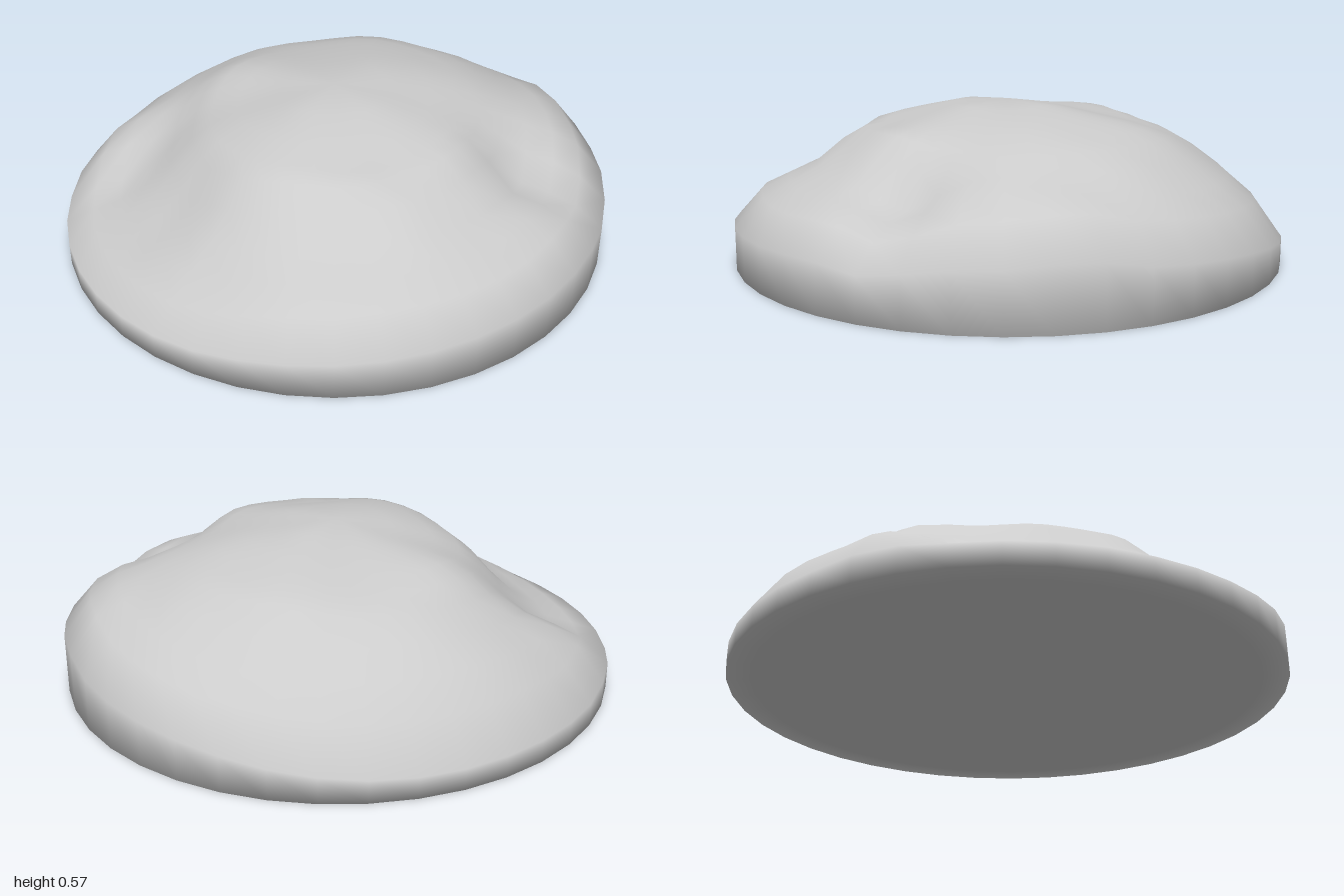
import * as THREE from 'three';

const SEGMENTS = 40;
const BASE = 0.01;

// Height profiles out from the centre, one every 45 degrees from +x towards +z
const RADII = [0, 0.2, 0.35, 0.45, 0.52, 0.6, 0.7, 0.8, 0.9, 1];
const PROFILES = [
  [0.58, 0.57, 0.53, 0.51, 0.50, 0.46, 0.37, 0.32, 0.27, 0.18], // +x
  [0.58, 0.56, 0.53, 0.50, 0.48, 0.41, 0.35, 0.31, 0.26, 0.15], // +x +z
  [0.58, 0.56, 0.53, 0.505, 0.47, 0.38, 0.29, 0.23, 0.17, 0.10], // +z
  [0.58, 0.55, 0.50, 0.45, 0.40, 0.32, 0.23, 0.17, 0.13, 0.09], // -x +z
  [0.58, 0.55, 0.525, 0.505, 0.48, 0.43, 0.37, 0.30, 0.22, 0.09], // -x
  [0.58, 0.55, 0.525, 0.505, 0.48, 0.45, 0.39, 0.32, 0.23, 0.09], // -x -z
  [0.58, 0.57, 0.55, 0.53, 0.51, 0.48, 0.42, 0.35, 0.29, 0.17], // -z
  [0.58, 0.57, 0.54, 0.51, 0.49, 0.47, 0.43, 0.39, 0.33, 0.21], // +x -z
];

// Local swellings and hollows: x, z, radius, height
const BUMPS = [
  [0.66, -0.2, 0.14, -0.09], [0.85, -0.32, 0.14, -0.05],
  [0.48, -0.8, 0.15, 0.035], [0.85, -0.06, 0.1, 0.02],
  [-0.2, 0.6, 0.14, -0.04], [0.47, 0.38, 0.08, 0.03],
  [-0.8, 0.33, 0.13, 0.055], [-0.62, 0.47, 0.12, -0.03],
  [0.3, 0.75, 0.18, 0.02],
];

function catmull(a, b, c, d, t) {
  return b + 0.5 * t * (c - a + t * (2 * a - 5 * b + 4 * c - d + t * (3 * (b - c) + d - a)));
}

function heightAt(angle, ring) {
  const s = (angle / (Math.PI * 2)) * 8;
  const i = Math.floor(s);
  const p = (k) => PROFILES[(i + k + 8) % 8][ring];
  const r = RADII[ring];
  const x = r * Math.cos(angle), z = r * Math.sin(angle);
  let y = catmull(p(-1), p(0), p(1), p(2), s - i);
  for (const [bx, bz, size, h] of BUMPS) {
    y += h * Math.exp(-((x - bx) ** 2 + (z - bz) ** 2) / (size * size));
  }
  // gentle unevenness, fading at the middle and the rim
  y += 0.01 * Math.sin(11 * x + 4 * z) * Math.sin(10 * z - 3 * x) * r * (1 - r) * 4;
  return Math.max(y, 0.07);
}

function moundGeometry() {
  const points = [0, 0.58, 0];
  const index = [];
  const ring = (r, heightOf) => {
    for (let j = 0; j < SEGMENTS; j++) {
      const a = (j / SEGMENTS) * Math.PI * 2;
      points.push(r * Math.cos(a), heightOf(a), r * Math.sin(a));
    }
  };
  // domed top, then upright wall and flat underside
  for (let i = 1; i < RADII.length; i++) ring(RADII[i], (a) => heightAt(a, i));
  ring(1, () => BASE);
  ring(0.9, () => BASE);
  const rings = RADII.length + 1;
  const last = 1 + rings * SEGMENTS;
  points.push(0, BASE, 0);

  for (let j = 0; j < SEGMENTS; j++) {
    const k = (j + 1) % SEGMENTS;
    index.push(0, 1 + k, 1 + j);
    for (let i = 0; i < rings - 1; i++) {
      const a = 1 + i * SEGMENTS, b = a + SEGMENTS;
      index.push(a + j, a + k, b + j, a + k, b + k, b + j);
    }
    const e = last - SEGMENTS;
    index.push(last, e + j, e + k);
  }
  const geometry = new THREE.BufferGeometry();
  geometry.setAttribute('position', new THREE.Float32BufferAttribute(points, 3));
  geometry.setIndex(index);
  geometry.computeVertexNormals();
  return geometry;
}

export function createModel() {
  const group = new THREE.Group();
  group.name = 'rockMound';
  const mound = new THREE.Mesh(moundGeometry(), new THREE.MeshStandardMaterial({ color: 0xcccccc }));
  mound.name = 'mound';
  group.add(mound);
  return group;
}
